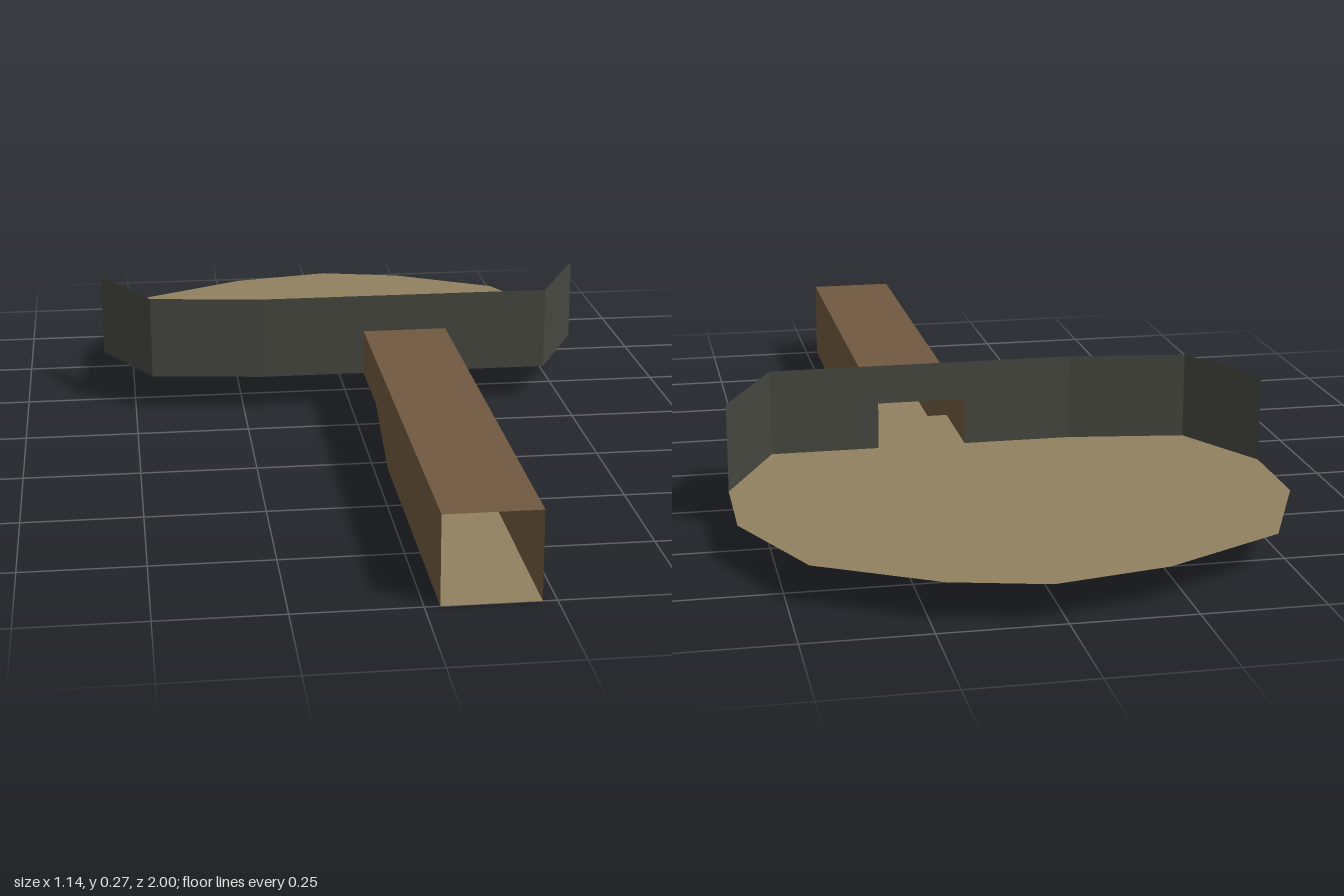
import * as THREE from 'three';

const mat = (name, color) => {
  const m = new THREE.MeshStandardMaterial({ color, side: THREE.DoubleSide });
  m.name = name;
  return m;
};

// Flat-shaded ribbon of quads between two rows of points
function ribbon(a, b) {
  const pos = [];
  for (let i = 0; i < a.length - 1; i++) {
    pos.push(...a[i], ...a[i + 1], ...b[i + 1], ...a[i], ...b[i + 1], ...b[i]);
  }
  const g = new THREE.BufferGeometry();
  g.setAttribute('position', new THREE.Float32BufferAttribute(pos, 3));
  g.computeVertexNormals();
  return g;
}

const shapeOf = (pts) => new THREE.ShapeGeometry(new THREE.Shape(pts.map(([x, y]) => new THREE.Vector2(x, y))));

export function createModel() {
  const group = new THREE.Group();
  const tan = mat('tan', 0x90815f);
  const brown = mat('brown', 0x715940);
  const charcoal = mat('charcoal', 0x464740);
  const add = (name, geometry, material) => {
    const mesh = new THREE.Mesh(geometry, material);
    mesh.name = name;
    group.add(mesh);
    return mesh;
  };

  const xL = 0.03, xR = 0.222, zEnd = -0.13;
  const deck = 0.08, roof = 0.182, wallTop = 0.267;

  // Front edge of the platform, [x, z], shared by the wall
  const edge = [[-0.57, -0.365], [-0.46, -0.165], [-0.205, zEnd], [xL, zEnd], [xR, zEnd], [0.457, zEnd], [0.57, -0.365]];
  const rear = [[0.57, -0.575], [0.457, -0.82], [xR, -0.953], [xL, -1], [-0.205, -0.953], [-0.46, -0.82], [-0.57, -0.575]];

  // Flat many-sided platform
  const platform = shapeOf([...edge, ...rear].map(([x, z]) => [x, -z]));
  platform.rotateX(-Math.PI / 2).translate(0, deck, 0);
  add('platform', platform, tan);

  // Wall along the front edge, raised to a lintel over the doorway
  const wall = (name, pts, bottom) =>
    add(name, ribbon(pts.map(([x, z]) => [x, bottom, z]), pts.map(([x, z]) => [x, wallTop, z])), charcoal);
  wall('wallRightSide', edge.slice(0, 4), deck);
  wall('wallLintel', edge.slice(3, 5), roof);
  wall('wallLeftSide', edge.slice(4), deck);

  // Hollow passage: two sides and a roof, open at both ends
  const floor = [[1, 0], [0.29, 0], [0.19, 0.04], [0.09, deck], [zEnd, deck]];
  for (const [name, x] of [['passageRightSide', xL], ['passageLeftSide', xR]]) {
    const side = shapeOf([...floor, [zEnd, roof], [1, roof]]);
    side.rotateY(-Math.PI / 2).translate(x, 0, 0);
    if (x === xR) {
      // Turn the left side to face outward
      const idx = side.index.array;
      for (let i = 0; i < idx.length; i += 3) [idx[i], idx[i + 1]] = [idx[i + 1], idx[i]];
      side.computeVertexNormals();
    }
    add(name, side, brown);
  }
  add('passageRoof', ribbon([[xR, roof, 1], [xR, roof, zEnd]], [[xL, roof, 1], [xL, roof, zEnd]]), brown);

  // Passage floor with a softly shaded ramp
  const row = (x) => floor.map(([z, y]) => [x, y, z]);
  const floorGeo = ribbon(row(xR), row(xL));
  const p = floorGeo.attributes.position, n = floorGeo.attributes.normal;
  for (let i = 0; i < p.count; i++) {
    const onRamp = Math.abs(p.getZ(i) - 0.19) < 0.01;
    n.setXYZ(i, 0, onRamp ? 0.93 : 1, onRamp ? 0.37 : 0);
  }
  add('passageFloor', floorGeo, tan);

  return group;
}
